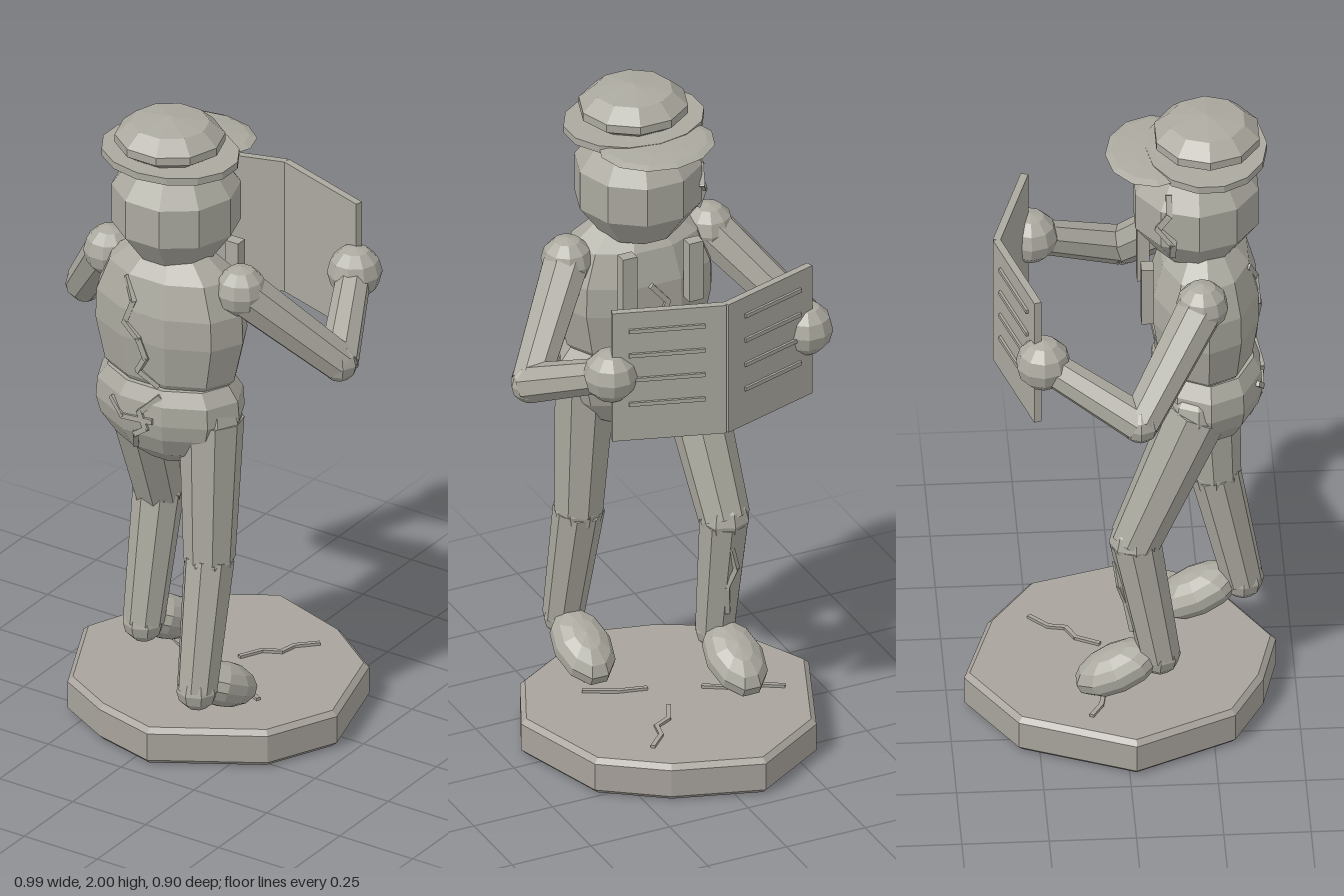
import * as THREE from 'three';

const mat = (name, color) => {
  const m = new THREE.MeshStandardMaterial({ color, flatShading: true });
  m.name = name;
  return m;
};

export function createModel() {
  const root = new THREE.Group();
  root.name = 'statue';
  const stone = mat('stone', 0xaba99f);
  const baseStone = mat('baseStone', 0xa8a39c);
  const V = (a) => new THREE.Vector3(...a);

  const add = (name, geo, pos = [0, 0, 0], scale = [1, 1, 1], material = stone, parent = root) => {
    const m = new THREE.Mesh(geo, material);
    m.name = name;
    m.position.set(...pos);
    m.scale.set(...scale);
    parent.add(m);
    return m;
  };

  // Ten-sided turned form with corners on the x axis; profile runs bottom to top
  const turned = (name, profile, z, depth) => {
    const geo = new THREE.LatheGeometry(profile.map((p) => new THREE.Vector2(...p)), 10);
    geo.rotateY(Math.PI / 2);
    return add(name, geo, [0, 0, z], [1, 1, depth]);
  };

  // Tapered limb between two points
  const limb = (name, a, b, ra, rb, sides = 8) => {
    const A = V(a), B = V(b), d = B.clone().sub(A);
    const m = add(name, new THREE.CylinderGeometry(rb, ra, d.length(), sides),
      A.clone().add(B).multiplyScalar(0.5).toArray());
    m.quaternion.setFromUnitVectors(new THREE.Vector3(0, 1, 0), d.normalize());
    return m;
  };
  const ball = (name, p, r, w = 10, h = 6) => add(name, new THREE.SphereGeometry(r, w, h), p);

  // Zigzag ridge made of thin bars along a path
  const crack = (name, pts, t = 0.014, material = stone) => {
    const g = new THREE.Group();
    g.name = name;
    for (let i = 0; i < pts.length - 1; i++) {
      const a = V(pts[i]), b = V(pts[i + 1]);
      const m = add(name + 'Bar', new THREE.BoxGeometry(t, t, a.distanceTo(b) + t * 0.5),
        a.clone().add(b).multiplyScalar(0.5).toArray(), [1, 1, 1], material, g);
      m.lookAt(b);
    }
    root.add(g);
  };

  // Uneven ten-sided plinth
  const corners = [[0.055, 0.448], [0.35, 0.27], [0.448, 0.06], [0.36, -0.24], [0.18, -0.37],
    [-0.08, -0.453], [-0.31, -0.31], [-0.447, 0.02], [-0.31, 0.31], [-0.14, 0.4]];
  const outline = new THREE.Shape(corners.map(([x, z]) => new THREE.Vector2(x, -z)));
  const plinth = new THREE.ExtrudeGeometry(outline, {
    depth: 0.085, bevelEnabled: true, bevelThickness: 0.015, bevelSize: 0.015,
    bevelOffset: -0.015, bevelSegments: 1 });
  plinth.rotateX(-Math.PI / 2);
  add('plinth', plinth, [0, 0.015, 0], [1, 1, 1], baseStone);

  // Torso and pelvis
  const torso = [[0, 1.16], [0.18, 1.165], [0.215, 1.2], [0.245, 1.33], [0.242, 1.42],
    [0.2, 1.52], [0.12, 1.58], [0, 1.59]];
  const pelvis = [[0, 0.905], [0.08, 0.912], [0.17, 0.965], [0.222, 1.03], [0.237, 1.08],
    [0.232, 1.14], [0.2, 1.183], [0, 1.19]];
  turned('torso', torso, 0.24, 0.65);
  turned('pelvis', pelvis, 0.246, 0.69);

  // Head and peaked cap
  add('head', new THREE.SphereGeometry(0.195, 10, 5), [0, 1.71, 0.215]);
  turned('capCrown', [[0, 1.88], [0.11, 1.885], [0.16, 1.918], [0.16, 1.943], [0.115, 1.983], [0, 2]], 0.247, 0.97);
  add('capBrim', new THREE.CylinderGeometry(0.21, 0.21, 0.022, 14), [0, 1.882, 0.245], [1, 1, 0.83]);
  const peak = add('capPeak', new THREE.SphereGeometry(0.175, 12, 6), [0, 1.878, 0.095], [1, 0.09, 0.8]);
  peak.rotation.x = -0.05;

  // Arms, mirrored
  for (const s of [1, -1]) {
    const shoulder = [s * 0.225, 1.49, 0.22], elbow = [s * 0.435, 1.235, 0.03], hand = [s * 0.31, 1.37, -0.24];
    ball('shoulder', shoulder, 0.076);
    limb('upperArm', shoulder, elbow, 0.07, 0.058);
    ball('elbow', elbow, 0.058, 8, 6);
    limb('forearm', elbow, hand, 0.058, 0.05);
    ball('hand', hand, 0.08);
    // Chest strap
    add('strap', new THREE.BoxGeometry(0.045, 0.19, 0.036), [s * 0.105, 1.455, 0.07]);
  }

  // Legs and tilted feet: the -x leg steps forward
  const legs = [
    { hip: [0.148, 1.07, 0.255], knee: [0.157, 0.63, 0.28], ankle: [0.168, 0.24, 0.36], foot: [0.17, 0.2, 0.23] },
    { hip: [-0.15, 1.07, 0.21], knee: [-0.183, 0.64, 0.03], ankle: [-0.188, 0.24, 0.1], foot: [-0.192, 0.2, -0.02] },
  ];
  for (const { hip, knee, ankle, foot } of legs) {
    ball('hip', hip, 0.09, 8, 6);
    limb('thigh', hip, knee, 0.094, 0.075);
    ball('knee', knee, 0.075, 8, 6);
    limb('shin', knee, ankle, 0.075, 0.06);
    ball('ankle', ankle, 0.061, 8, 6);
    const f = add('foot', new THREE.SphereGeometry(1, 10, 7), foot, [0.086, 0.066, 0.135]);
    f.rotation.x = -0.45;
  }

  // Open newspaper: two hinged pages with raised text rows
  for (const s of [1, -1]) {
    const page = new THREE.Group();
    page.name = 'newspaperPage';
    page.position.set(0, 1.375, -0.355);
    page.rotation.y = -s * 0.305;
    add('page', new THREE.BoxGeometry(0.33, 0.42, 0.022), [s * 0.165, 0, 0], [1, 1, 1], stone, page);
    for (let i = 0; i < 4; i++) {
      add('textRow', new THREE.BoxGeometry(0.22, 0.012, 0.009),
        [s * 0.172, 0.15 - i * 0.08, -0.014], [1, 1, 1], stone, page);
    }
    root.add(page);
  }

  // Cracks that follow the body: depth is taken from the turned profile
  const onBody = (profile, zc, depth, side, pts) => pts.map(([x, y]) => {
    let i = 0;
    while (i < profile.length - 2 && profile[i + 1][1] < y) i++;
    const [r0, y0] = profile[i], [r1, y1] = profile[i + 1];
    const r = (r0 + ((r1 - r0) * (y - y0)) / (y1 - y0)) * 0.97;
    return [x, y, zc + side * depth * Math.sqrt(Math.max(0, r * r - x * x))];
  });
  crack('backCrack', onBody(torso, 0.24, 0.65, 1, [[-0.07, 1.51], [-0.035, 1.45], [-0.06, 1.38],
    [-0.01, 1.34], [0.01, 1.28], [-0.02, 1.23], [0.04, 1.19]]), 0.016);
  crack('chestCrack', onBody(torso, 0.24, 0.65, -1, [[0.02, 1.42], [-0.03, 1.36], [-0.01, 1.31],
    [-0.06, 1.26], [-0.04, 1.2]]), 0.016);
  crack('pelvisCrack', onBody(pelvis, 0.246, 0.69, 1, [[0.055, 1.165], [0, 1.11], [0.02, 1.06],
    [-0.02, 1.03], [-0.04, 0.975]]), 0.016);
  crack('pelvisCrackBranch', onBody(pelvis, 0.246, 0.69, 1, [[-0.105, 1.12], [-0.06, 1.08], [0.04, 1.09]]), 0.016);
  crack('faceCrack', [[-0.13, 1.81, 0.13], [-0.155, 1.76, 0.13], [-0.145, 1.71, 0.1],
    [-0.17, 1.67, 0.14], [-0.15, 1.62, 0.14]], 0.018);
  crack('shinCrack', [[-0.18, 0.56, -0.025], [-0.2, 0.49, -0.015], [-0.18, 0.42, 0.005], [-0.19, 0.33, 0.022]]);

  // Cracks on the plinth
  const onPlinth = (pts) => pts.map(([x, z]) => [x, 0.117, z]);
  crack('plinthCrack', onPlinth([[0.037, -0.06], [0.07, -0.125], [0.12, -0.15], [0.13, -0.2], [0.18, -0.25]]), 0.013, baseStone);
  crack('plinthCrack', onPlinth([[-0.31, -0.1], [-0.26, -0.07], [-0.2, -0.06], [-0.1, 0]]), 0.013, baseStone);
  crack('plinthCrack', onPlinth([[0.05, 0.06], [0.13, 0.08], [0.17, 0.1], [0.22, 0.125]]), 0.013, baseStone);

  return root;
}
